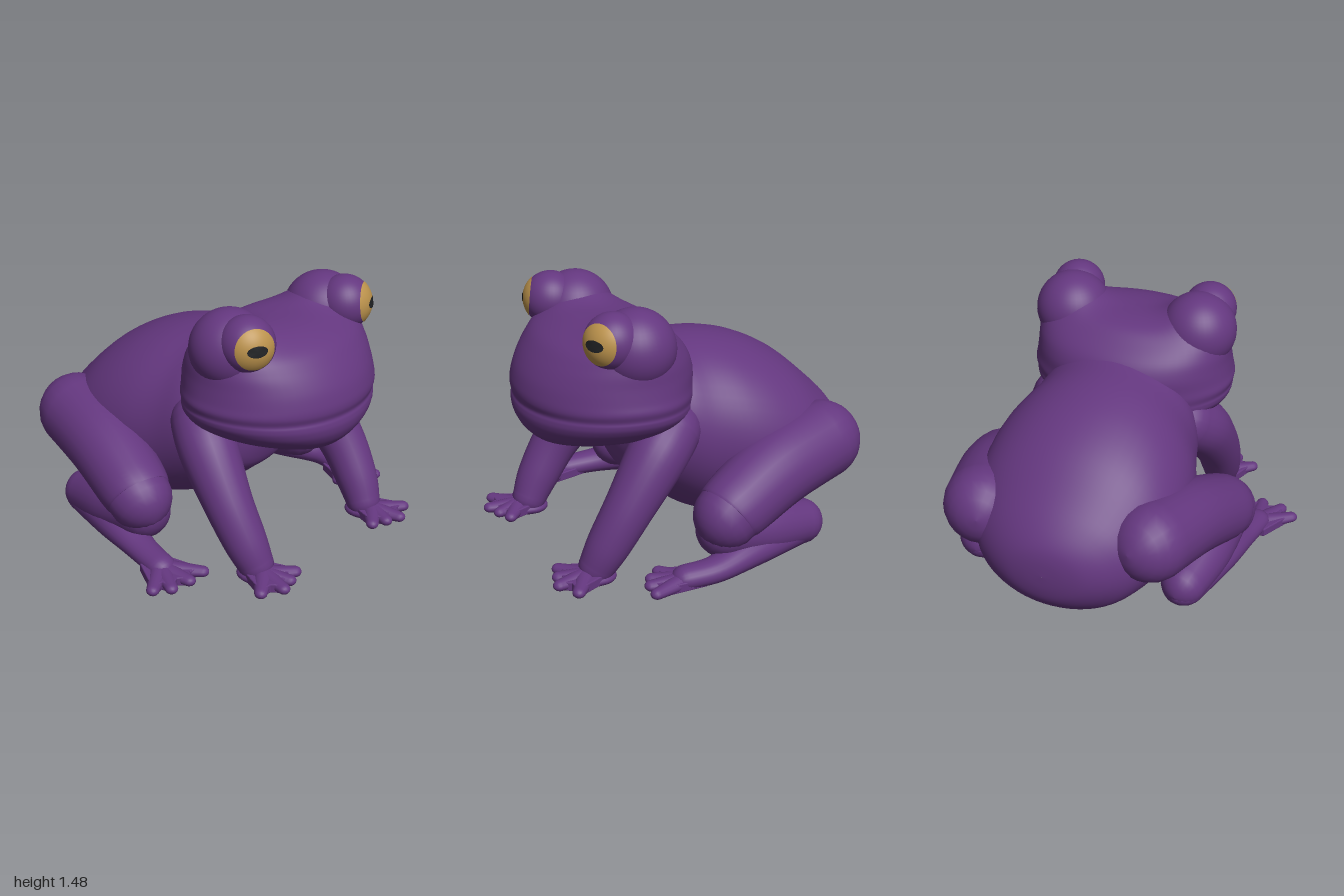
import * as THREE from 'three';

const CX = 0.08; // the body's own mid-line
const skin = new THREE.MeshStandardMaterial({ color: 0x64377f });
skin.name = 'purple skin';
const gold = new THREE.MeshStandardMaterial({ color: 0xbb924c });
gold.name = 'gold iris';
const black = new THREE.MeshStandardMaterial({ color: 0x202224 });
black.name = 'black pupil';

// Smoothly resample rows of numbers, n steps between neighbours
function resample(rows, n) {
  const out = [];
  const last = rows.length - 1;
  for (let i = 0; i < last; i++) {
    const [p, q, r, s] = [rows[Math.max(i - 1, 0)], rows[i], rows[i + 1], rows[Math.min(i + 2, last)]];
    for (let k = 0; k < n; k++) {
      const t = k / n;
      out.push(q.map((v, c) => v + 0.5 * t * (r[c] - p[c]
        + t * (2 * p[c] - 5 * v + 4 * r[c] - s[c] + t * (3 * (v - r[c]) + s[c] - p[c])))));
    }
  }
  out.push(rows[last]);
  return out;
}

// Skin closed loops of points into one smooth surface
function loft(rings) {
  const n = rings[0].length;
  const index = [];
  for (let i = 0; i < rings.length - 1; i++) {
    for (let j = 0; j < n; j++) {
      const a = i * n + j, b = i * n + (j + 1) % n;
      index.push(a, b, a + n, b, b + n, a + n);
    }
  }
  const geo = new THREE.BufferGeometry().setFromPoints(rings.flat());
  geo.setIndex(index);
  geo.computeVertexNormals();
  return geo;
}

function loop(n, fn) {
  return Array.from({ length: n }, (_, j) => fn((j / n) * Math.PI * 2));
}

// Round-ended limb through rows of [x, y, z, radius]; flat squashes it
function limb(rows, flat = 1, sides = 24) {
  const path = resample(rows, 7);
  const at = (i) => new THREE.Vector3(...path[Math.min(Math.max(i, 0), path.length - 1)].slice(0, 3));
  const rings = [];
  const ring = (i, along, scale) => {
    const r = path[i][3];
    const T = at(i + 1).sub(at(i - 1)).normalize();
    const N = new THREE.Vector3(1, 0, 0).addScaledVector(T, -T.x).normalize();
    const B = T.clone().cross(N);
    rings.push(loop(sides, (a) => at(i).addScaledVector(T, along * r)
      .addScaledVector(N, r * scale * Math.cos(a))
      .addScaledVector(B, r * scale * flat * Math.sin(a))));
  };
  const end = path.length - 1;
  for (let k = 0; k < 6; k++) ring(0, -Math.cos(k * Math.PI / 12), Math.max(Math.sin(k * Math.PI / 12), 0.001));
  for (let i = 0; i <= end; i++) ring(i, 0, 1);
  for (let k = 5; k >= 0; k--) ring(end, Math.cos(k * Math.PI / 12), Math.max(Math.sin(k * Math.PI / 12), 0.001));
  return loft(rings);
}

function add(parent, name, geo, mat = skin) {
  const mesh = new THREE.Mesh(geo, mat);
  mesh.name = name;
  parent.add(mesh);
  return mesh;
}

// Round-padded toes fanning out from a root, joined by a scalloped web
function toes(parent, name, [rx, rz], tips) {
  const side = 0.07 * Math.sign(tips[0][0] - rx);
  const outline = [[rx + side, rz - 0.08]];
  tips.forEach(([x, z], i) => {
    add(parent, name, limb([[rx, 0.062, rz, 0.06],
      [rx * 0.4 + x * 0.6, 0.06, rz * 0.4 + z * 0.6, 0.045], [x, 0.06, z, 0.036]], 0.8, 14));
    outline.push([x, z]);
    if (i < tips.length - 1) {
      const [nx, nz] = tips[i + 1];
      outline.push([(x + nx) * 0.4 + rx * 0.2, (z + nz) * 0.4 + rz * 0.2]);
    }
  });
  outline.push([rx - side, rz - 0.08]);
  const web = new THREE.ExtrudeGeometry(new THREE.Shape(outline.map((p) => new THREE.Vector2(...p))),
    { depth: 0.04, bevelSize: 0.006, bevelThickness: 0.006, bevelSegments: 2 });
  add(parent, name + 'Web', web.rotateX(Math.PI / 2).translate(0, 0.078, 0));
}

function buildBody() {
  // z, half width, bottom, top
  const rows = [
    [-1.0, 0.001, 0.43, 0.431], [-0.992, 0.13, 0.33, 0.53], [-0.965, 0.25, 0.24, 0.61],
    [-0.9, 0.37, 0.155, 0.7], [-0.8, 0.475, 0.085, 0.8], [-0.6, 0.575, 0.035, 0.975],
    [-0.4, 0.605, 0.03, 1.085], [-0.2, 0.59, 0.06, 1.145], [0, 0.53, 0.13, 1.17],
    [0.15, 0.49, 0.23, 1.18], [0.28, 0.43, 0.34, 1.08], [0.37, 0.32, 0.43, 0.9], [0.42, 0.001, 0.6, 0.601],
  ];
  return loft(resample(rows, 5).map(([z, w, lo, hi]) => loop(56, (a) => new THREE.Vector3(
    CX + w * Math.cos(a), (lo + hi) / 2 + (hi - lo) / 2 * Math.sin(a), z))));
}

function buildHead() {
  // y, half width, front z, back z; the dip near 0.91 is the mouth
  const rows = [
    [0.65, 0.001, 0.421, 0.419], [0.655, 0.14, 0.68, 0.36], [0.68, 0.27, 0.82, 0.2],
    [0.74, 0.43, 0.9, 0.1], [0.8, 0.53, 0.938, 0.04], [0.85, 0.575, 0.95, 0],
    [0.885, 0.588, 0.947, 0], [0.91, 0.587, 0.94, 0], [0.95, 0.597, 0.95, 0],
    [1.0, 0.587, 0.946, 0], [1.08, 0.575, 0.92, 0], [1.17, 0.565, 0.865, 0.04],
    [1.25, 0.53, 0.79, 0.12], [1.31, 0.4, 0.67, 0.2], [1.336, 0.22, 0.55, 0.3], [1.342, 0.001, 0.421, 0.419],
  ];
  return loft(resample(rows, 5).map(([y, w, front, back]) => loop(64, (a) => {
    const c = Math.cos(a), x = w * Math.sin(a);
    const z = 0.42 + c * (c > 0 ? front - 0.42 : 0.42 - back);
    // the mouth curves up at the sides and the crown swells around the eyes
    const top = THREE.MathUtils.smoothstep(y, 1.1, 1.32);
    const swell = 0.12 * Math.exp(-((Math.abs(x) - 0.38) ** 2 + (z - 0.43) ** 2) / 0.026);
    return new THREE.Vector3(CX + x, y + 0.05 * x * x * (1 - top) + swell * top, z);
  })));
}

function buildEye(s) {
  const eye = new THREE.Group();
  eye.name = s > 0 ? 'leftEye' : 'rightEye';
  const socket = add(eye, 'eyeSocket', new THREE.SphereGeometry(0.217, 40, 28));
  socket.position.set(CX + s * 0.383, 1.255, 0.44);
  // eyeball with its iris and pupil, turned outward and forward
  const ball = new THREE.Group();
  ball.name = 'eyeball';
  ball.position.set(CX + s * 0.405, 1.325, 0.578);
  ball.rotation.set(-0.1, s * 0.46, 0, 'YXZ');
  add(ball, 'eyelid', new THREE.SphereGeometry(0.153, 40, 28));
  const iris = new THREE.SphereGeometry(0.156, 40, 12, 0, Math.PI * 2, 0, 0.785);
  add(ball, 'iris', iris.rotateX(Math.PI / 2), gold);
  const pupil = new THREE.CircleGeometry(1, 32).scale(0.057, 0.031, 1);
  const p = pupil.attributes.position;
  for (let i = 0; i < p.count; i++) p.setZ(i, Math.sqrt(0.16 ** 2 - p.getX(i) ** 2 - p.getY(i) ** 2));
  pupil.computeVertexNormals();
  add(ball, 'pupil', pupil, black);
  eye.add(ball);
  return eye;
}

function buildFrontLeg(s) {
  const leg = new THREE.Group();
  leg.name = s > 0 ? 'leftFrontLeg' : 'rightFrontLeg';
  const X = (off) => CX + s * off;
  add(leg, 'arm', limb([
    [X(0.385), 0.76, 0.24, 0.17], [X(0.455), 0.65, 0.36, 0.165], [X(0.495), 0.42, 0.535, 0.137],
    [X(0.49), 0.22, 0.66, 0.12], [X(0.475), 0.1, 0.725, 0.1]]));
  add(leg, 'palm', limb([[X(0.475), 0.045, 0.72, 0.1], [X(0.48), 0.05, 0.8, 0.1]], 0.44));
  toes(leg, 'finger', [X(0.48), 0.79],
    [[X(0.63), 0.9], [X(0.515), 0.96], [X(0.43), 0.93], [X(0.345), 0.895]]);
  return leg;
}

function buildHindLeg(s) {
  const leg = new THREE.Group();
  leg.name = s > 0 ? 'leftHindLeg' : 'rightHindLeg';
  const X = (off) => CX + s * off;
  add(leg, 'thigh', limb([
    [X(0.49), 0.56, -0.66, 0.225], [X(0.58), 0.495, -0.32, 0.22], [X(0.67), 0.38, -0.02, 0.2],
    [X(0.69), 0.34, 0.055, 0.183]]));
  add(leg, 'shin', limb([
    [X(0.67), 0.25, 0.06, 0.155], [X(0.65), 0.2, -0.2, 0.16], [X(0.62), 0.155, -0.455, 0.13]]));
  // the two feet are turned differently
  const foot = s > 0
    ? [[0.69, -0.46], [0.79, -0.1], [0.865, 0.16], [0.845, 0.34]]
    : [[-0.54, -0.46], [-0.63, -0.1], [-0.7, 0.16], [-0.735, 0.34]];
  const radii = [0.12, 0.125, 0.088, 0.08];
  const heights = [0.125, 0.125, 0.092, 0.075];
  add(leg, 'foot', limb(foot.map(([x, z], i) => [x, heights[i], z, radii[i]]), 0.8));
  toes(leg, 'toe', foot[3], s > 0
    ? [[0.91, 0.545], [0.82, 0.535], [0.755, 0.5], [0.7, 0.43]]
    : [[-0.92, 0.465], [-0.84, 0.525], [-0.72, 0.54], [-0.605, 0.53]]);
  return leg;
}

export function createModel() {
  const frog = new THREE.Group();
  frog.name = 'frog';
  add(frog, 'body', buildBody());
  add(frog, 'head', buildHead());
  for (const s of [-1, 1]) frog.add(buildEye(s), buildFrontLeg(s), buildHindLeg(s));
  return frog;
}
